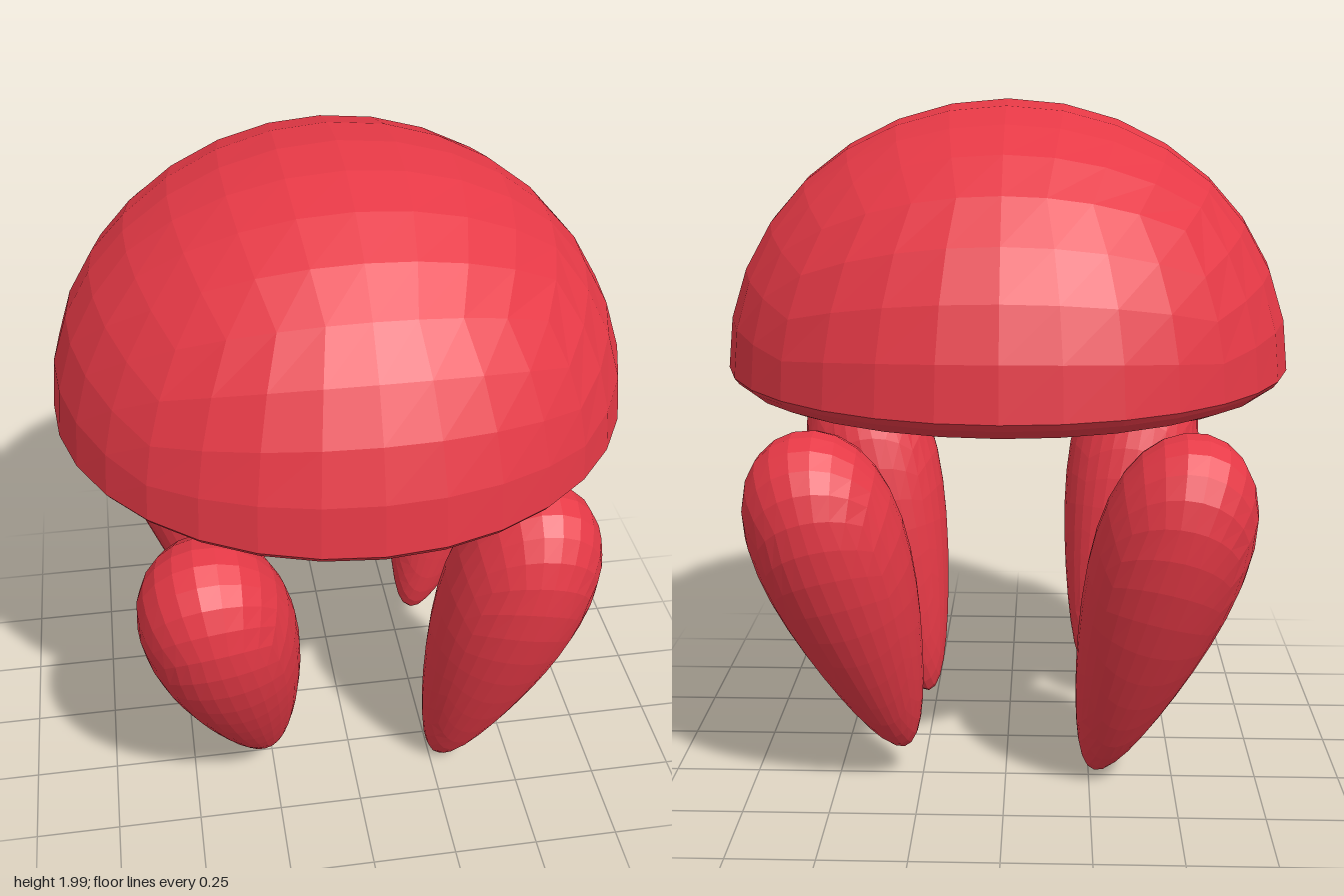
import * as THREE from 'three';

const material = new THREE.MeshStandardMaterial({ color: 0xe63946, flatShading: true });

// Low-poly ball made from a subdivided cube, then reshaped by a rule on each unit vector
function quadBall(reshape) {
  const geometry = new THREE.BoxGeometry(2, 2, 2, 8, 8, 8);
  const pos = geometry.attributes.position;
  const v = new THREE.Vector3();
  const even = (c) => Math.tan(c * Math.PI / 4); // equal angular steps
  for (let i = 0; i < pos.count; i++) {
    v.fromBufferAttribute(pos, i);
    v.set(even(v.x), even(v.y), even(v.z)).normalize();
    reshape(v);
    pos.setXYZ(i, v.x, v.y, v.z);
  }
  geometry.computeVertexNormals();
  return geometry;
}

// Half-round bell with a tight rounded rim and flat underside
function makeBell() {
  const geometry = quadBall((v) => {
    const r = Math.min(1, Math.hypot(v.x, v.z));
    const y = v.y >= 0 ? 0.75 * v.y : -0.063 * (1 - Math.pow(r, 20));
    v.set(v.x * 0.815, y, v.z * 0.815);
  });
  const bell = new THREE.Mesh(geometry, material);
  bell.name = 'bell';
  bell.position.y = 1.25;
  return bell;
}

// Teardrop tentacle running from its narrow tip up to its fat top
function makeTentacle(name, tip, top) {
  const start = new THREE.Vector3(...tip);
  const axis = new THREE.Vector3(...top).sub(start);
  const length = axis.length();
  const geometry = quadBall((v) => {
    const u = (v.y + 1) / 2;
    const radius = 0.125 + 0.1 * u + 0.08 * u * u;
    v.set(v.x * radius, u * length, v.z * radius);
  });
  const tentacle = new THREE.Mesh(geometry, material);
  tentacle.name = name;
  tentacle.position.copy(start);
  tentacle.quaternion.setFromUnitVectors(new THREE.Vector3(0, 1, 0), axis.normalize());
  return tentacle;
}

export function createModel() {
  const model = new THREE.Group();
  model.name = 'jellyfish';
  model.add(makeBell());

  // Four tentacles, each with a slightly different lean
  const tentacles = [
    ['frontLeftTentacle', [0.28, 0.015, 0.33], [0.54, 1.14, 0.5]],
    ['frontRightTentacle', [-0.27, 0.105, 0.29], [-0.47, 1.125, 0.63]],
    ['backRightTentacle', [-0.265, 0.035, -0.24], [-0.55, 1.135, -0.52]],
    ['backLeftTentacle', [0.3, 0.115, -0.26], [0.57, 1.13, -0.51]],
  ];
  for (const [name, tip, top] of tentacles) model.add(makeTentacle(name, tip, top));
  return model;
}
